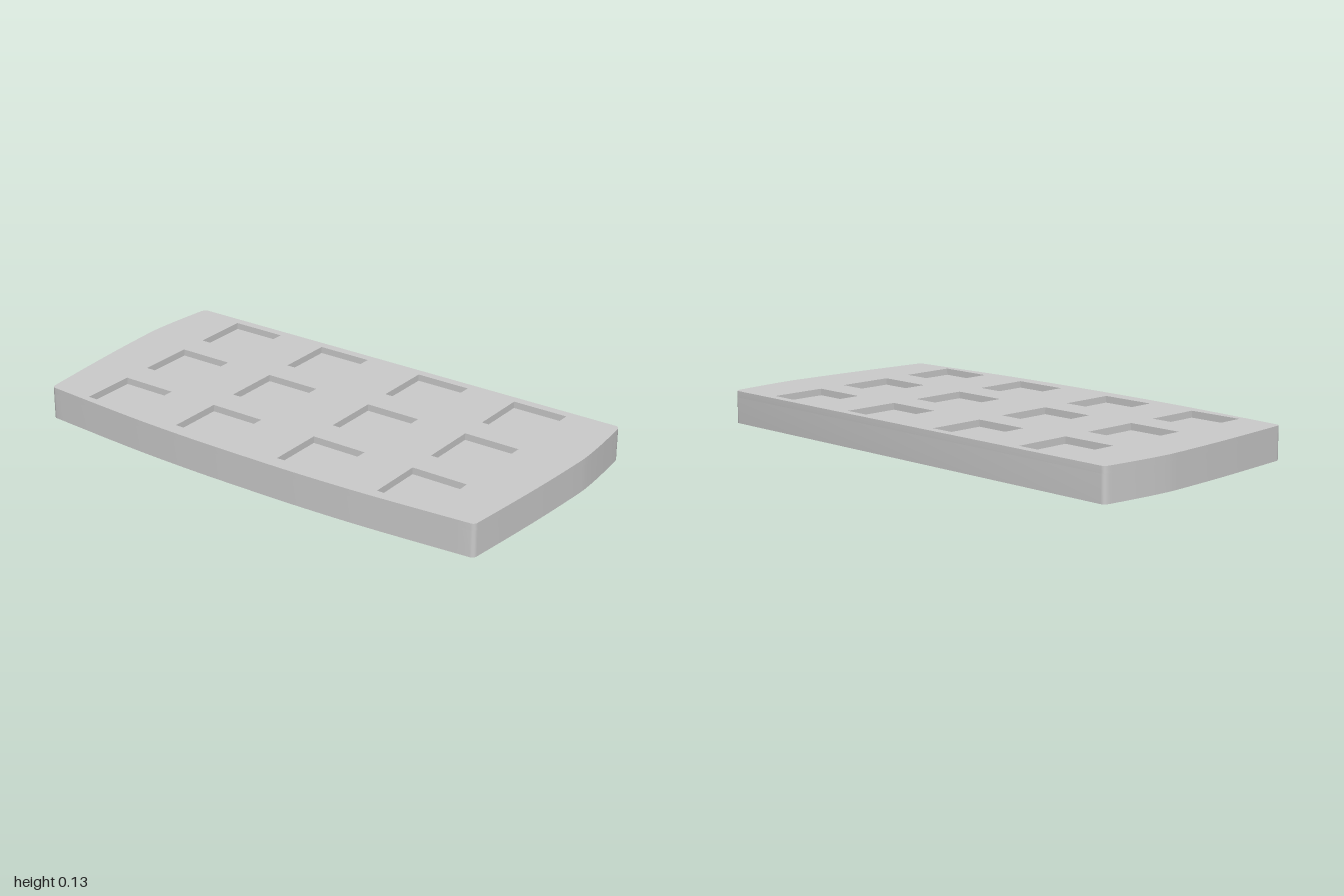
import * as THREE from 'three';
import { toCreasedNormals } from 'three/addons/utils/BufferGeometryUtils.js';

const HEIGHT = 0.128, POCKET_DEPTH = 0.026;

// Plan outline in (x, -z): straight back, bowed sides and front, small rounded corners
function outline() {
  const v = (x, z) => new THREE.Vector2(x, -z);
  const side = [[0.952, 0.435], [0.971, 0.24], [0.987, 0.05], [0.999, -0.15], [1, -0.23], [0.992, -0.35], [0.979, -0.475]];
  const front = [[-0.935, 0.456], [-0.54, 0.486], [-0.25, 0.498], [0, 0.5], [0.25, 0.498], [0.54, 0.486], [0.935, 0.456]];
  const s = new THREE.Shape();
  s.moveTo(-0.935, -0.456);
  s.splineThru(front.slice(1).map(([x, z]) => v(x, z)));
  s.quadraticCurveTo(0.952, -0.454, 0.952, -0.435);
  s.splineThru(side.slice(1).map(([x, z]) => v(x, z)));
  s.quadraticCurveTo(0.976, 0.5, 0.96, 0.5);
  s.lineTo(-0.96, 0.5);
  s.quadraticCurveTo(-0.976, 0.5, -0.979, 0.475);
  s.splineThru(side.slice(0, -1).reverse().map(([x, z]) => v(-x, z)));
  s.quadraticCurveTo(-0.952, -0.454, -0.935, -0.456);
  return s;
}

// Rectangular pocket opening
function pocket(x0, x1, z0, z1) {
  const p = new THREE.Path();
  p.moveTo(x0, -z0);
  p.lineTo(x1, -z0);
  p.lineTo(x1, -z1);
  p.lineTo(x0, -z1);
  p.closePath();
  return p;
}

function slab(name, shape, y, depth, material) {
  const flat = new THREE.ExtrudeGeometry(shape, { depth, bevelEnabled: false, curveSegments: 5 });
  flat.rotateX(-Math.PI / 2);
  const mesh = new THREE.Mesh(toCreasedNormals(flat, 0.5), material);
  mesh.name = name;
  mesh.position.y = y;
  return mesh;
}

export function createModel() {
  const group = new THREE.Group();
  group.name = 'pocketedTray';
  const material = new THREE.MeshStandardMaterial({ color: 0xcccccc });

  // Solid base, whose upper face forms the pocket floors
  group.add(slab('trayBase', outline(), 0, HEIGHT - POCKET_DEPTH, material));

  // Top layer pierced by four columns and three rows of pockets
  const top = outline();
  const columns = [[-0.775, -0.552], [-0.347, -0.123], [0.118, 0.342], [0.548, 0.772]];
  const rows = [[-0.465, -0.237], [-0.122, 0.105], [0.222, 0.442]];
  for (const [x0, x1] of columns)
    for (const [z0, z1] of rows) top.holes.push(pocket(x0, x1, z0, z1));
  group.add(slab('pocketedTop', top, HEIGHT - POCKET_DEPTH, POCKET_DEPTH, material));

  return group;
}
